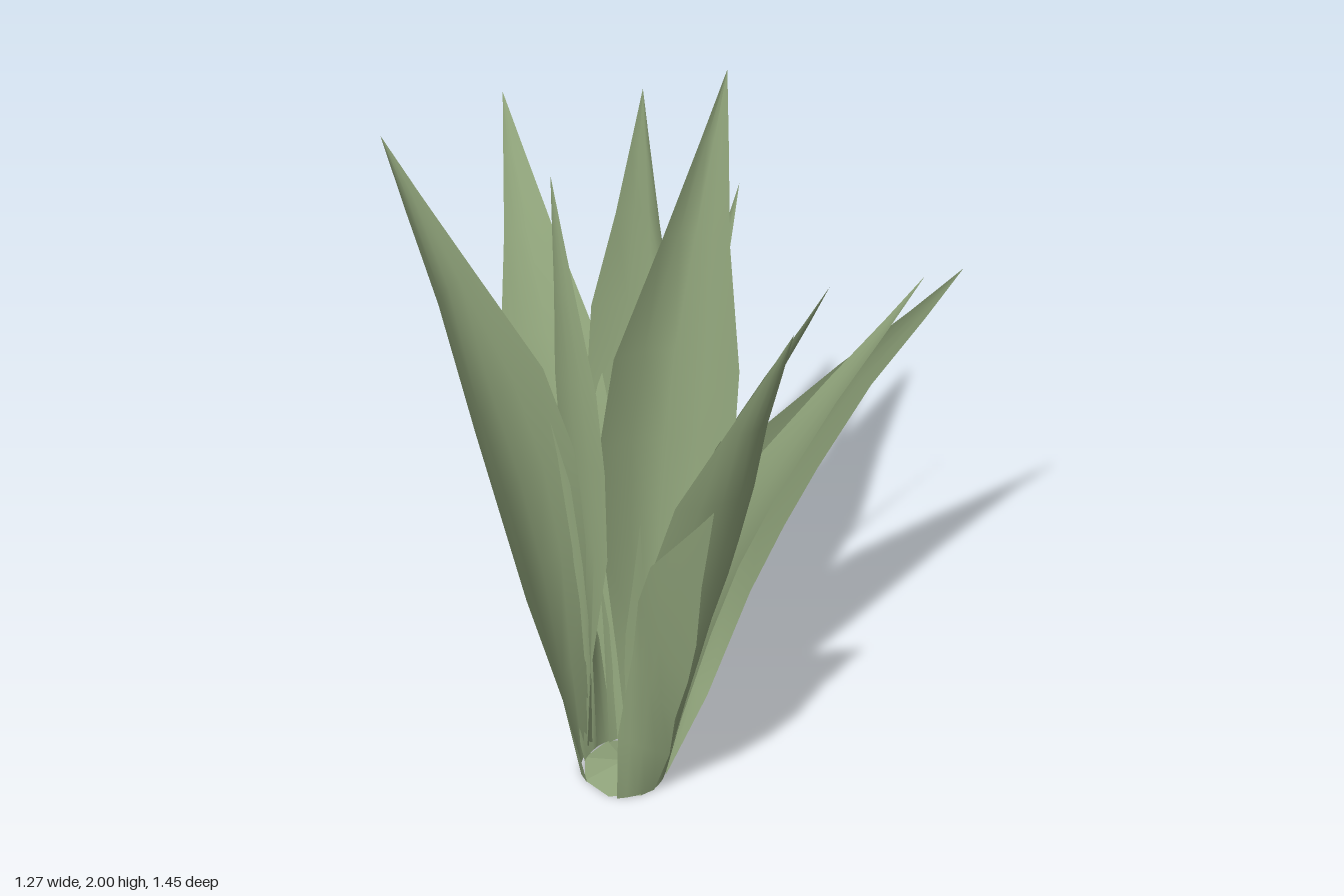
import * as THREE from 'three';

const CENTRE = new THREE.Vector3(-0.19, 0, 0.105);
const BASE_RADIUS = 0.108;

// Position along the blade, share of full width
const ROWS = [[0, 0.42], [0.15, 0.58], [0.32, 0.86], [0.45, 1], [0.58, 0.92], [0.76, 0.48], [0.9, 0.2], [1, 0]];
// Columns across the blade, -1 to 1
const COLUMNS = [-1, -0.5, 0, 0.5, 1];

// name, middle, tip, horizontal width direction (x, z), width, cupping
const LEAVES = [
  ['backLeaf', [-0.2, 1.05, -0.29], [-0.15, 1.67, -0.72], [1, 0.4], 0.26, 0.12],
  ['backLeftNarrowLeaf', [0.09, 1.0, -0.1], [0.375, 1.44, -0.4], [1, -0.3], 0.13, 0.06],
  ['backLeftLeaf', [0, 1.15, -0.18], [0.06, 1.85, -0.3], [0.55, 0.83], 0.27, 0.4],
  ['tallLeaf', [-0.02, 1.12, 0.03], [0.172, 2.0, -0.06], [1, 0.4], 0.34, 0.28],
  ['leftLeaf', [0.158, 0.9, 0.165], [0.64, 1.53, 0.3], [1, 0.2], 0.25, 0.05],
  ['frontLeftLeaf', [0.09, 0.93, 0.27], [0.5, 1.58, 0.355], [0.3, -0.95], 0.21, 0.06],
  ['frontLeaf', [-0.06, 0.97, 0.345], [0.09, 1.61, 0.48], [1, -0.15], 0.26, 0.12],
  ['frontBladeLeaf', [-0.23, 0.83, 0.47], [-0.225, 1.38, 0.73], [0.1, 1], 0.25, 0.05],
  ['rightLeaf', [-0.41, 1.1, -0.01], [-0.63, 1.92, -0.24], [-0.87, 0.5], 0.3, 0.2],
  ['innerLeaf', [-0.235, 1.08, -0.06], [-0.22, 1.72, -0.22], [0.15, 1], 0.22, 0.08],
  ['backRightLeaf', [-0.33, 1.0, -0.09], [-0.44, 1.5, -0.28], [-0.5, -0.6], 0.15, 0.05],
  ['leftNarrowLeaf', [0.09, 0.9, 0.085], [0.4, 1.4, 0.07], [1, -0.4], 0.15, 0.06],
  ['youngLeftLeaf', [-0.07, 0.25, 0.17], [0.01, 0.48, 0.19], [1, -0.3], 0.05, 0.05],
  ['youngFrontLeaf', [-0.2, 0.5, 0.22], [-0.21, 1.0, 0.28], [0.6, 0.8], 0.07, 0.05],
];

// Cupped blade that turns from the base ring to its own width direction
function leafGeometry(mid, tip, dir, width, cup) {
  const middle = new THREE.Vector3(...mid);
  const out = middle.clone().sub(CENTRE).setY(0).normalize();
  const base = CENTRE.clone().addScaledVector(out, BASE_RADIUS);
  const curve = new THREE.CatmullRomCurve3([base, middle, new THREE.Vector3(...tip)]);
  const side = new THREE.Vector3(dir[0], 0, dir[1]).normalize();
  const ringSide = new THREE.Vector3(-out.z, 0, out.x);
  if (ringSide.dot(side) < 0) ringSide.negate();

  const positions = [], index = [], n = COLUMNS.length;
  ROWS.forEach(([t, share], i) => {
    const p = curve.getPoint(t);
    const tangent = curve.getTangent(t);
    const across = ringSide.clone().lerp(side, Math.min(1, t / 0.3));
    if (t > 0) across.addScaledVector(tangent, -across.dot(tangent));
    across.normalize();
    const normal = new THREE.Vector3().crossVectors(across, tangent).normalize();
    if (normal.dot(out) < 0) normal.negate();
    for (const s of COLUMNS) {
      const v = p.clone().addScaledVector(across, s * width * share / 2)
        .addScaledVector(normal, (0.5 - s * s) * cup * width * share);
      positions.push(v.x, Math.max(0, v.y), v.z);
    }
    if (i === 0) return;
    for (let c = 0; c < n - 1; c++) {
      const a = (i - 1) * n + c, b = a + n;
      index.push(a, a + 1, b);
      if (share > 0) index.push(a + 1, b + 1, b);
    }
  });

  const geometry = new THREE.BufferGeometry();
  geometry.setAttribute('position', new THREE.Float32BufferAttribute(positions, 3));
  geometry.setIndex(index);
  geometry.computeVertexNormals();
  return geometry;
}

export function createModel() {
  const model = new THREE.Group();
  model.name = 'leafyPlant';
  const green = new THREE.MeshStandardMaterial({ color: 0x8fa37a, side: THREE.DoubleSide });
  green.name = 'leafGreen';

  for (const [name, ...shape] of LEAVES) {
    const leaf = new THREE.Mesh(leafGeometry(...shape), green);
    leaf.name = name;
    model.add(leaf);
  }

  // Low faceted crown where the leaves join
  const crownGeometry = new THREE.ConeGeometry(0.115, 0.03, 8, 1, true).toNonIndexed();
  crownGeometry.computeVertexNormals();
  const crown = new THREE.Mesh(crownGeometry, green);
  crown.name = 'crown';
  crown.position.set(CENTRE.x, 0.015, CENTRE.z);
  model.add(crown);
  return model;
}
